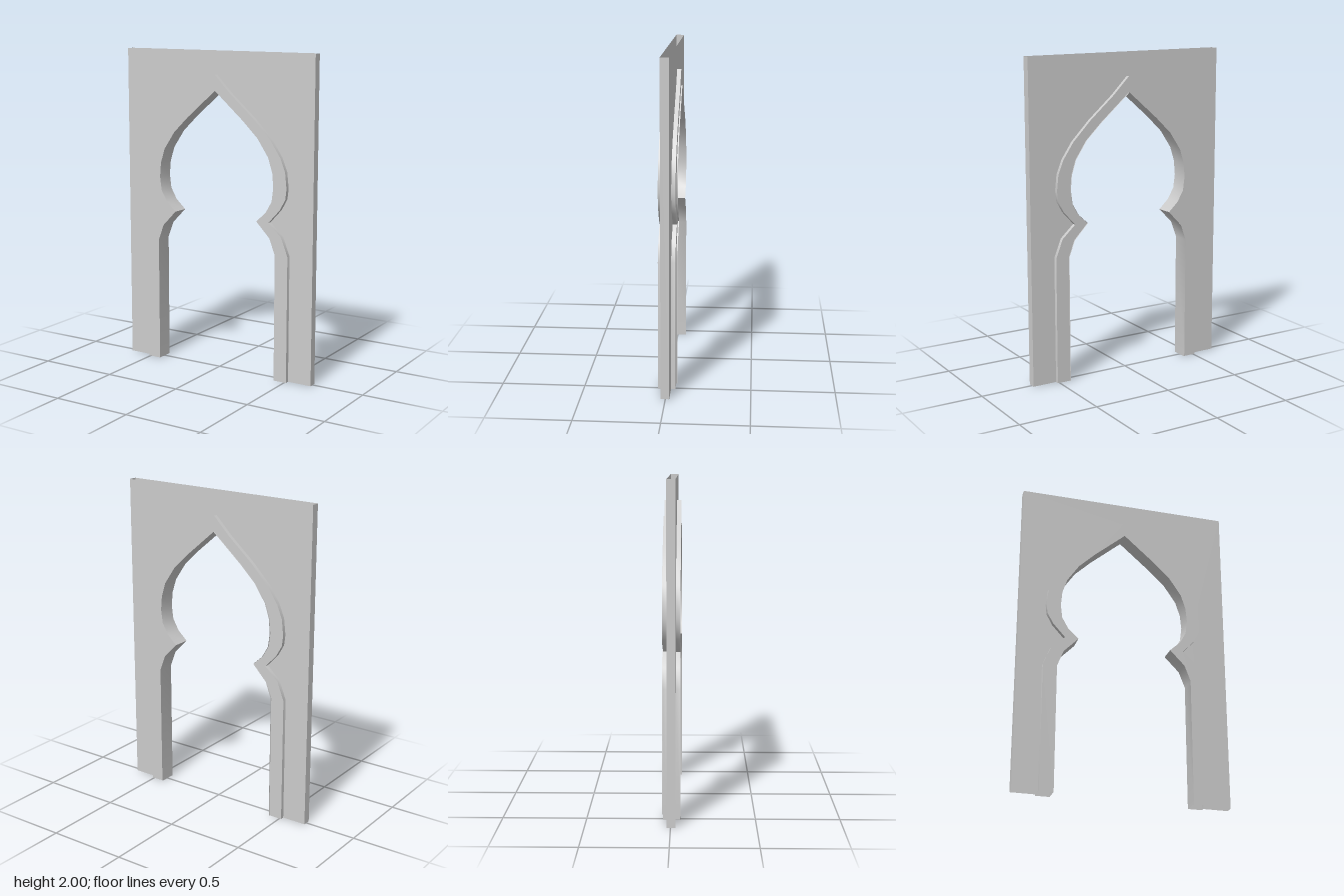
import * as THREE from 'three';
import { toCreasedNormals } from 'three/addons/utils/BufferGeometryUtils.js';

const HALF_WIDTH = 0.667, HEIGHT = 2;
const WALL_FRONT = 0.028, WALL_BACK = -0.023;
const TRIM_FRONT = 0.055, TRIM_BACK = -0.048, LIP_BACK = -0.055;

// Right halves of the arch outlines, from the foot to the apex
const INNER = [[0.425, 0], [0.425, 0.79], [0.387, 0.89], [0.295, 0.985], [0.36, 1.045], [0.4, 1.115],
  [0.411, 1.2], [0.403, 1.29], [0.374, 1.38], [0.3, 1.49], [0.197, 1.59], [0, 1.76]];
const OUTER = [[0.512, 0], [0.512, 0.79], [0.467, 0.905], [0.38, 0.985], [0.456, 1.068], [0.493, 1.135],
  [0.501, 1.2], [0.49, 1.3], [0.456, 1.385], [0.387, 1.487], [0.27, 1.607], [0.106, 1.75], [0, 1.857]];

const material = new THREE.MeshStandardMaterial({ color: 0xcccccc, side: THREE.DoubleSide });

// Mirror a half outline into a full arch, right foot to left foot
function fullArch(half) {
  const left = half.slice(0, -1).reverse().map(([x, y]) => [-x, y]);
  return [...half, ...left];
}

// Strip that sweeps a path in z; it faces right of the path when z0 < z1
function band(path, z0, z1) {
  const positions = [];
  for (let i = 0; i < path.length - 1; i++) {
    const [ax, ay] = path[i], [bx, by] = path[i + 1];
    positions.push(ax, ay, z0, bx, by, z0, bx, by, z1);
    positions.push(ax, ay, z0, bx, by, z1, ax, ay, z1);
  }
  const geometry = new THREE.BufferGeometry();
  geometry.setAttribute('position', new THREE.Float32BufferAttribute(positions, 3));
  return toCreasedNormals(geometry, 0.6);
}

// Flat symmetrical panel, turned around for the back
function panel(points, z, back = false) {
  const shape = new THREE.Shape(points.map(([x, y]) => new THREE.Vector2(x, y)));
  const geometry = new THREE.ShapeGeometry(shape);
  if (back) geometry.rotateY(Math.PI);
  return geometry.translate(0, 0, z);
}

export function createModel() {
  const model = new THREE.Group();
  model.name = 'archway';
  const add = (name, geometry) => {
    const mesh = new THREE.Mesh(geometry, material);
    mesh.name = name;
    model.add(mesh);
  };

  const inner = fullArch(INNER), outer = fullArch(OUTER);
  const wallOutline = [...outer, [-HALF_WIDTH, 0], [-HALF_WIDTH, HEIGHT], [HALF_WIDTH, HEIGHT], [HALF_WIDTH, 0]];
  const trimOutline = [...outer, ...inner.slice().reverse()];

  // Hollow wall, open at the top and the feet
  add('wallFront', panel(wallOutline, WALL_FRONT));
  add('wallBack', panel(wallOutline, WALL_BACK, true));
  add('wallLeftSide', band([[HALF_WIDTH, 0], [HALF_WIDTH, HEIGHT]], WALL_BACK, WALL_FRONT));
  add('wallRightSide', band([[-HALF_WIDTH, HEIGHT], [-HALF_WIDTH, 0]], WALL_BACK, WALL_FRONT));

  // Raised trim around the opening on both faces
  add('trimFront', panel(trimOutline, TRIM_FRONT));
  add('trimFrontEdge', band(outer, WALL_FRONT, TRIM_FRONT));
  add('trimBack', panel(trimOutline, TRIM_BACK, true));
  add('trimBackEdge', band(outer, TRIM_BACK, WALL_BACK));

  // Lining of the opening, standing slightly proud at the back
  add('archLining', band(inner, TRIM_FRONT, LIP_BACK));

  return model;
}
